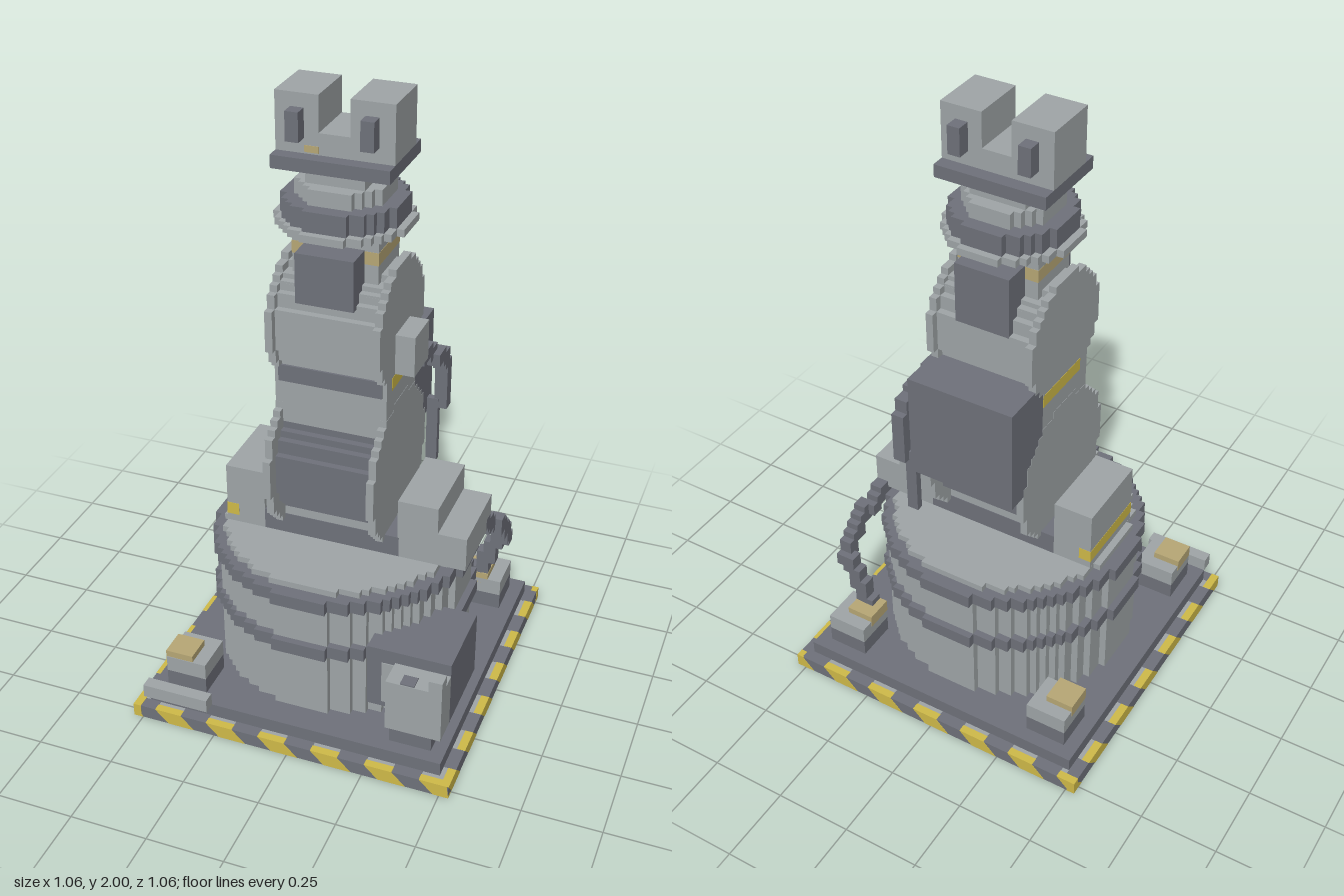
import * as THREE from 'three';

const mat = (name, color) => {
  const m = new THREE.MeshStandardMaterial({ color });
  m.name = name;
  return m;
};

export function createModel() {
  const light = mat('light grey', 0xa0a6a8);
  const dark = mat('dark grey', 0x6f727b);
  const yellow = mat('hazard yellow', 0xd0bb49);
  const tan = mat('tan cap', 0xb8a876);
  const root = new THREE.Group();
  root.name = 'robotArm';
  const STEP = 2 / 90;

  const add = (name, geo, m) => {
    const mesh = new THREE.Mesh(geo, m);
    mesh.name = name;
    root.add(mesh);
    return mesh;
  };

  // Box from its minimum and maximum on each axis
  const box = (name, m, x0, x1, y0, y1, z0, z1) =>
    add(name, new THREE.BoxGeometry(x1 - x0, y1 - y0, z1 - z0), m)
      .position.set((x0 + x1) / 2, (y0 + y1) / 2, (z0 + z1) / 2);

  // Disc with a stepped, blocky rim, extruded along z
  const blockDisc = (r, depth) => {
    const n = Math.round(r / STEP);
    const right = [];
    for (let i = -n; i < n; i++) {
      const mid = (i + 0.5) * STEP;
      const w = Math.max(1, Math.round(Math.sqrt(Math.max(0, r * r - mid * mid)) / STEP)) * STEP;
      const last = right[right.length - 1];
      if (last && last.x === w) last.y = (i + 1) * STEP;
      else right.push(new THREE.Vector2(w, i * STEP), new THREE.Vector2(w, (i + 1) * STEP));
    }
    const left = right.map((p) => new THREE.Vector2(-p.x, p.y)).reverse();
    return new THREE.ExtrudeGeometry(new THREE.Shape([...right, ...left]), { depth, bevelEnabled: false });
  };
  const flatDisc = (name, m, r, y0, y1) =>
    add(name, blockDisc(r, y1 - y0).rotateX(-Math.PI / 2).translate(0, y0, 0), m);
  const wheel = (name, m, r, y, x0, x1) =>
    add(name, blockDisc(r, x1 - x0).rotateY(Math.PI / 2).translate(x0, y, 0), m);

  // Cable made of small cubes along a path
  const cable = (name, points, count) => {
    const path = new THREE.CatmullRomCurve3(points.map((p) => new THREE.Vector3(...p)), false, 'catmullrom', 0.02);
    for (const p of path.getSpacedPoints(count)) {
      const c = p.toArray().map((v) => Math.round(v / STEP) * STEP);
      add(name, new THREE.BoxGeometry(0.042, 0.042, 0.042), dark).position.set(...c);
    }
  };

  // Base plates with slanted hazard stripes round the edge
  box('basePlate', light, -0.529, 0.529, 0, 0.044, -0.529, 0.529);
  box('baseStep', dark, -0.49, 0.49, 0.044, 0.09, -0.49, 0.49);
  const stripe = (name, m, start, side, edge, depth, top) => {
    const clip = (v) => Math.max(-edge, Math.min(edge, v));
    const shape = new THREE.Shape([
      [clip(start + 0.045), 0.001], [clip(start + 0.134), 0.001], [clip(start + 0.089), top], [clip(start), top],
    ].map(([x, y]) => new THREE.Vector2(x, y)));
    const geo = new THREE.ExtrudeGeometry(shape, { depth, bevelEnabled: false });
    add(name, geo.translate(0, 0, edge - depth).rotateY(side * Math.PI / 2), m);
  };
  [-0.632, -0.718, -0.6, -0.613].forEach((first, side) => {
    for (let a = first; a < 0.53; a += 0.178) {
      if (a > -0.66) stripe('hazardStripe', yellow, a, side, 0.531, 0.026, 0.046);
      if (a < 0.44) stripe('darkStripe', dark, a + 0.089, side, 0.53, 0.04, 0.045);
    }
  });
  box('frontRail', light, -0.49, -0.27, 0.09, 0.135, 0.49, 0.53);

  // Corner feet: [x, z, cap z]
  for (const [x, z, cz] of [[-0.445, -0.445, -0.4], [0.31, -0.445, -0.4], [-0.445, 0.31, 0.353]]) {
    box('footBase', dark, x, x + 0.135, 0.09, 0.145, z, z + 0.135);
    box('footTop', light, x, x + 0.135, 0.145, 0.2, z, z + 0.135);
    box('footCap', tan, x - 0.002, x + 0.09, 0.18, 0.222, cz, cz + 0.09);
  }
  box('footBase', dark, 0.31, 0.445, 0.09, 0.18, 0.31, 0.445);

  // Control cabinet on the front left corner
  box('cabinet', dark, 0.22, 0.487, 0.18, 0.4, 0.135, 0.4);
  box('cabinetFace', light, 0.31, 0.487, 0.18, 0.36, 0.4, 0.49);
  box('cabinetPlate', light, 0.267, 0.31, 0.2, 0.35, 0.397, 0.403);
  box('cabinetNub', light, 0.445, 0.487, 0.36, 0.4, 0.445, 0.49);
  box('cabinetSwitch', dark, 0.355, 0.4, 0.355, 0.364, 0.445, 0.488);

  // Turntable drum with two bands
  flatDisc('drum', light, 0.4, 0.09, 0.51);
  flatDisc('drumTop', light, 0.385, 0.51, 0.555);
  flatDisc('drumBand', dark, 0.422, 0.315, 0.358);
  flatDisc('drumBand', dark, 0.422, 0.492, 0.535);

  // Shoulder mount and side motors
  box('shoulderMount', dark, -0.225, 0.225, 0.555, 0.625, -0.135, 0.135);
  box('rightMotor', light, -0.355, -0.225, 0.555, 0.76, -0.135, 0.135);
  box('rightMotorBand', yellow, -0.356, -0.315, 0.58, 0.622, -0.136, 0.136);
  box('leftMotor', light, 0.22, 0.35, 0.555, 0.76, -0.135, 0.135);
  box('leftMotorStep', light, 0.35, 0.443, 0.555, 0.67, -0.135, 0.135);

  // Arm column and its two joints
  box('lowerArm', light, -0.178, 0.178, 0.6, 1.115, -0.133, 0.133);
  box('armBand', dark, -0.165, 0.165, 1.11, 1.165, -0.14, 0.14);
  box('upperArm', light, -0.178, 0.178, 1.165, 1.44, -0.133, 0.133);
  wheel('shoulderCore', dark, 0.2, 0.81, -0.157, 0.157);
  wheel('elbowCore', light, 0.178, 1.3, -0.157, 0.157);
  for (const s of [-1, 1]) {
    const [a, b] = s < 0 ? [-0.179, -0.155] : [0.155, 0.179];
    wheel('shoulderCheek', light, 0.244, 0.81, a, b);
    wheel('elbowCheek', light, 0.2, 1.3, a, b);
    box('armBandSide', light, a, b, 1.1, 1.17, -0.133, 0.133);
    box('armStripe', yellow, s * 0.178 - 0.002, s * 0.178 + 0.002, 1.115, 1.157, -0.133, 0.09);
  }
  box('elbowKnob', light, 0.179, 0.24, 1.16, 1.29, -0.065, 0.065);
  box('rearPack', dark, -0.178, 0.178, 0.85, 1.2, -0.31, -0.13);

  // Wrist with front and rear covers
  box('wrist', light, -0.133, 0.133, 1.43, 1.61, -0.09, 0.09);
  box('wristStripe', tan, -0.134, 0.134, 1.515, 1.555, -0.091, 0.091);
  box('wristFrontCover', dark, -0.09, 0.09, 1.4, 1.558, 0.09, 0.178);
  box('wristRearCover', dark, -0.09, 0.09, 1.36, 1.558, -0.178, -0.09);
  flatDisc('wristFlange', light, 0.2, 1.605, 1.628);
  flatDisc('wristRing', dark, 0.18, 1.628, 1.69);
  flatDisc('wristCollar', light, 0.135, 1.69, 1.738);
  box('toolNeck', light, -0.09, 0.09, 1.738, 1.785, -0.09, 0.09);

  // Gripper
  box('gripperPlate', dark, -0.178, 0.178, 1.785, 1.825, -0.133, 0.133);
  box('gripperBridge', light, -0.05, 0.05, 1.825, 1.89, -0.09, 0.09);
  box('gripperMark', tan, -0.09, -0.047, 1.83, 1.85, 0.088, 0.092);
  for (const s of [-1, 1]) {
    const [a, b] = s < 0 ? [-0.178, -0.047] : [0.047, 0.178];
    box('jaw', light, a, b, 1.825, 2, -0.09, 0.09);
    box('jawPin', dark, s * 0.111 - 0.02, s * 0.111 + 0.02, 1.87, 1.958, -0.133, 0.133);
  }

  // Cables
  cable('upperCable', [[0.2, 1.15, -0.1], [0.21, 1.1, -0.2], [0.22, 1.04, -0.28], [0.22, 0.88, -0.28]], 18);
  box('cableTail', dark, 0.178, 0.215, 0.67, 0.9, -0.288, -0.265);
  cable('lowerCable', [[0.42, 0.57, -0.12], [0.45, 0.42, -0.32], [0.36, 0.23, -0.335]], 24);

  return root;
}
